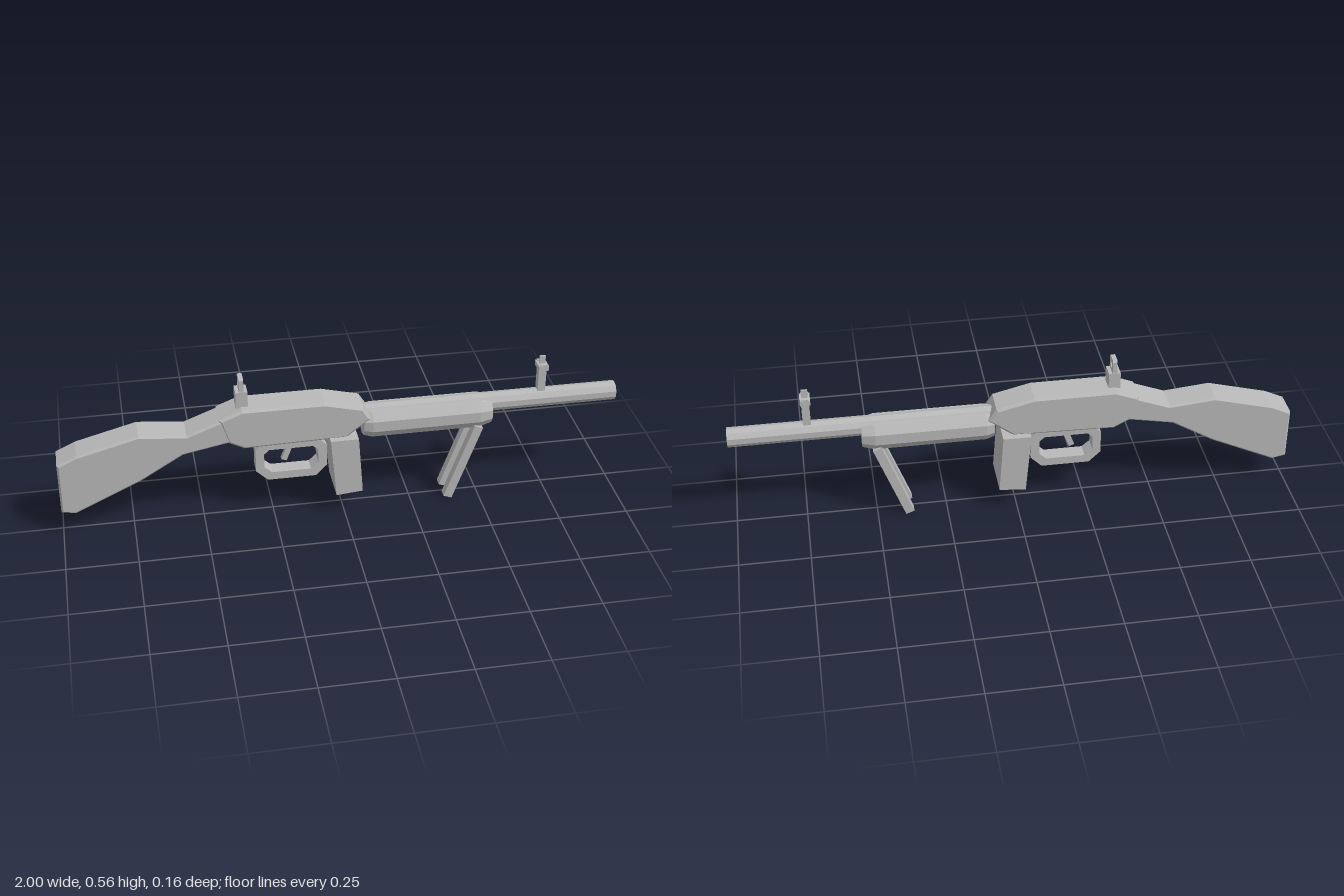
import * as THREE from 'three';

const gunGrey = new THREE.MeshStandardMaterial({ color: 0xb8b8b8, flatShading: true });
gunGrey.name = 'plain grey';

const toPath = (points, Type = THREE.Shape) => new Type(points.map(([x, y]) => new THREE.Vector2(x, y)));

// Side outline extruded to a half width either side of z, with an optional chamfer
function slab(name, points, halfWidth, { bevel = 0, z = 0, hole = null } = {}) {
  const shape = toPath(points);
  if (hole) shape.holes.push(toPath(hole, THREE.Path));
  const geometry = new THREE.ExtrudeGeometry(shape, {
    depth: 2 * (halfWidth - bevel), bevelEnabled: bevel > 0, bevelSegments: 1,
    bevelSize: bevel, bevelThickness: bevel, bevelOffset: -bevel,
  });
  geometry.translate(0, 0, z - halfWidth + bevel);
  const mesh = new THREE.Mesh(geometry, gunGrey);
  mesh.name = name;
  return mesh;
}

// Ten-sided part turned around the x axis; profile is [radius, x]
function turned(name, profile, y, top = Infinity) {
  const geometry = new THREE.LatheGeometry(profile.map(([r, x]) => new THREE.Vector2(r, x)), 10, Math.PI / 2);
  geometry.rotateZ(-Math.PI / 2);
  const p = geometry.attributes.position;
  for (let i = 0; i < p.count; i++) p.setY(i, Math.min(p.getY(i), top));
  geometry.translate(0, y, 0);
  const mesh = new THREE.Mesh(geometry, gunGrey);
  mesh.name = name;
  return mesh;
}

function box(name, w, h, d, x, y, z = 0) {
  const mesh = new THREE.Mesh(new THREE.BoxGeometry(w, h, d), gunGrey);
  mesh.position.set(x, y, z);
  mesh.name = name;
  return mesh;
}

export function createModel() {
  const model = new THREE.Group();
  model.name = 'rifle';

  // Body
  model.add(slab('stock', [
    [-1, 0.1], [-0.95, 0.09], [-0.715, 0.2], [-0.565, 0.29], [-0.4, 0.322],
    [-0.39, 0.37], [-0.43, 0.412], [-0.55, 0.366], [-0.715, 0.382], [-0.93, 0.325], [-1, 0.292],
  ], 0.055, { bevel: 0.007 }));
  model.add(slab('receiver', [
    [-0.407, 0.322], [-0.35, 0.293], [0.01, 0.3], [0.1, 0.368], [0.07, 0.415],
    [-0.065, 0.448], [-0.355, 0.448], [-0.437, 0.415],
  ], 0.058, { bevel: 0.009 }));

  // Barrel with bore, and the flat-topped fore-end below it
  model.add(turned('barrel', [
    [0, 0.06], [0.035, 0.06], [0.035, 1], [0.024, 1], [0.024, 0.93], [0, 0.93],
  ], 0.364));
  model.add(turned('foreEnd', [
    [0, 0.075], [0.055, 0.075], [0.064, 0.105], [0.064, 0.495], [0.052, 0.54], [0, 0.54],
  ], 0.336, 0.05));

  // Magazine, trigger guard and trigger
  model.add(slab('magazine', [[-0.03, 0.078], [0.065, 0.087], [0.05, 0.305], [-0.05, 0.305]], 0.08));
  model.add(slab('triggerGuard', [
    [-0.31, 0.178], [-0.268, 0.138], [-0.096, 0.138], [-0.056, 0.178],
    [-0.056, 0.262], [-0.08, 0.287], [-0.288, 0.287], [-0.31, 0.262],
  ], 0.028, {
    hole: [
      [-0.28, 0.192], [-0.252, 0.168], [-0.113, 0.168], [-0.087, 0.192],
      [-0.087, 0.245], [-0.105, 0.262], [-0.262, 0.262], [-0.28, 0.245],
    ],
  }));
  model.add(box('guardMount', 0.17, 0.025, 0.04, -0.185, 0.292));
  model.add(slab('trigger', [[-0.217, 0.207], [-0.198, 0.2], [-0.172, 0.268], [-0.192, 0.268]], 0.009));

  // Bipod legs
  for (const side of [-1, 1]) {
    model.add(slab(side > 0 ? 'leftLeg' : 'rightLeg',
      [[0.37, 0.011], [0.4, 0], [0.505, 0.287], [0.475, 0.298]], 0.0165, { z: side * 0.0385 }));
  }

  // Rear sight: block and upright plate with a peep hole
  const rearSight = new THREE.Group();
  rearSight.name = 'rearSight';
  rearSight.add(box('rearSightBlock', 0.042, 0.062, 0.054, -0.352, 0.474));
  const plate = toPath([[-0.026, 0.5], [0.026, 0.5], [0.026, 0.55], [0.02, 0.556], [-0.02, 0.556], [-0.026, 0.55]]);
  plate.holes.push(new THREE.Path().absarc(0, 0.528, 0.012, 0, Math.PI * 2, true));
  const plateGeometry = new THREE.ExtrudeGeometry(plate, { depth: 0.016, bevelEnabled: false, curveSegments: 12 });
  plateGeometry.rotateY(Math.PI / 2).translate(-0.36, 0, 0);
  const peep = new THREE.Mesh(plateGeometry, gunGrey);
  peep.name = 'peepPlate';
  rearSight.add(peep);
  model.add(rearSight);

  // Front sight: post, crosspiece, ears and blade
  const frontSight = new THREE.Group();
  frontSight.name = 'frontSight';
  frontSight.add(box('sightPost', 0.028, 0.1, 0.028, 0.724, 0.438));
  frontSight.add(box('sightCrosspiece', 0.036, 0.018, 0.054, 0.724, 0.492));
  for (const side of [-1, 1]) frontSight.add(box('sightEar', 0.026, 0.006, 0.01, 0.724, 0.503, side * 0.021));
  frontSight.add(box('sightBlade', 0.022, 0.032, 0.007, 0.724, 0.515));
  model.add(frontSight);

  return model;
}
